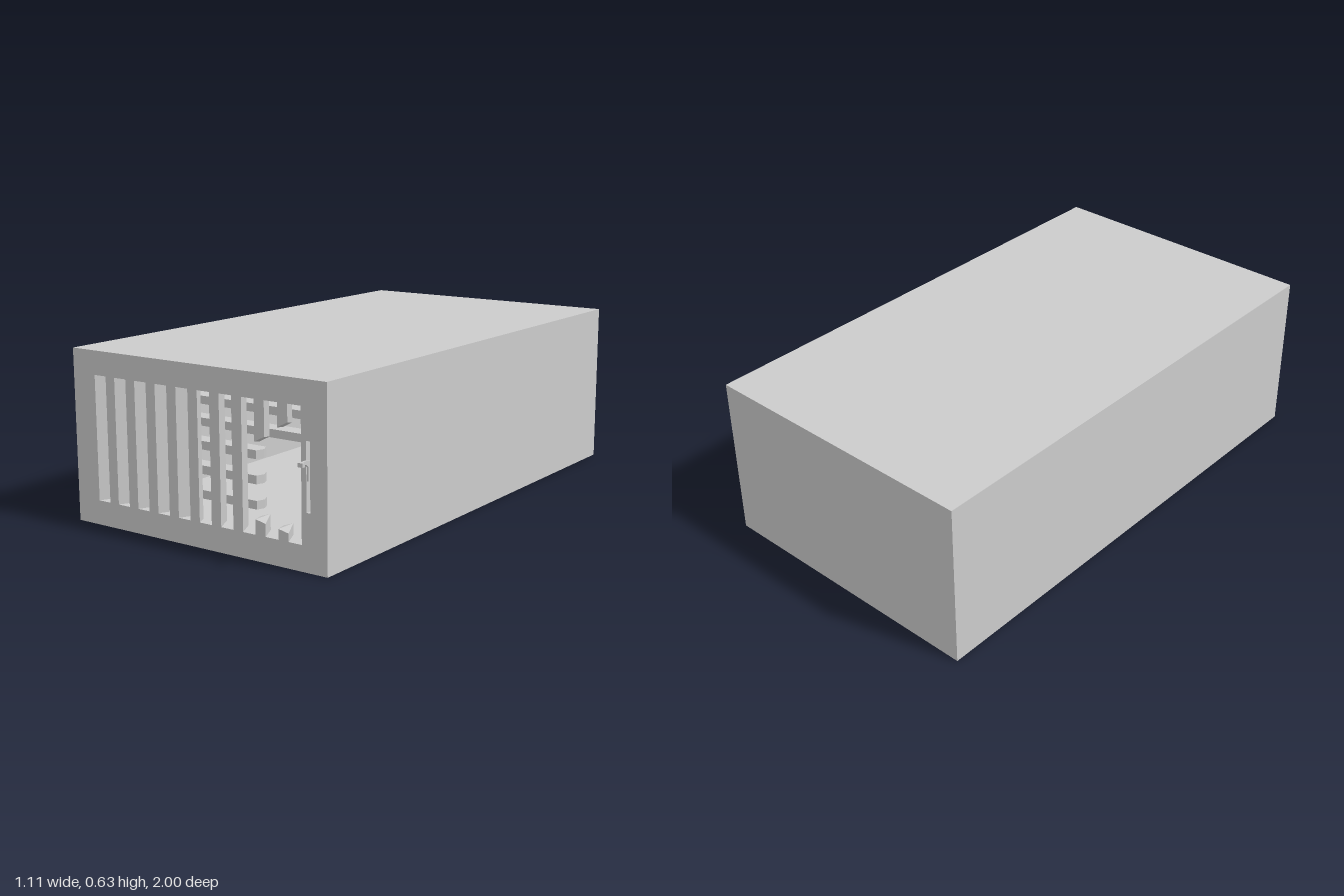
import * as THREE from 'three';

const W = 0.553, H = 0.632;            // half width, height
const BACK = -1, FRONT = 0.95, INNER = 0.88; // z of the back, the front and the grille's rear side
const Y0 = 0.09, Y1 = 0.545;           // slot bottom and top
const SLOT = 0.053, PITCH = 0.0943, SHIFT = 0.034;
const material = new THREE.MeshStandardMaterial({ color: 0xcccccc, flatShading: true });

function add(group, name, geometry) {
  const mesh = new THREE.Mesh(geometry, material);
  mesh.name = name;
  group.add(mesh);
  return mesh;
}

function block(group, name, x0, x1, y0, y1, z0, z1) {
  const mesh = add(group, name, new THREE.BoxGeometry(x1 - x0, y1 - y0, z1 - z0));
  mesh.position.set((x0 + x1) / 2, (y0 + y1) / 2, (z0 + z1) / 2);
  return mesh;
}

// Upright prism over an [x, z] outline; its ends may be cut by functions of x
function prism(group, name, outline, bottom, top) {
  const shape = new THREE.Shape(outline.map(([x, z]) => new THREE.Vector2(x, -z)));
  const geometry = new THREE.ExtrudeGeometry(shape, { depth: 1, bevelEnabled: false });
  geometry.rotateX(-Math.PI / 2);
  const p = geometry.attributes.position;
  for (let i = 0; i < p.count; i++) {
    const end = p.getY(i) > 0.5 ? top : bottom;
    p.setY(i, typeof end === 'function' ? end(p.getX(i)) : end);
  }
  geometry.computeVertexNormals();
  return add(group, name, geometry);
}

function createCase(group) {
  const t = 0.012;
  const shape = new THREE.Shape();
  shape.moveTo(-W, 0).lineTo(W, 0).lineTo(W, H).lineTo(-W, H).closePath();
  const hole = new THREE.Path();
  hole.moveTo(-W + t, t).lineTo(-W + t, H - t).lineTo(W - t, H - t).lineTo(W - t, t).closePath();
  shape.holes.push(hole);
  const walls = add(group, 'caseWalls',
    new THREE.ExtrudeGeometry(shape, { depth: INNER - BACK - t, bevelEnabled: false }));
  walls.position.z = BACK + t;
  block(group, 'backWall', -W, W, 0, H, BACK, BACK + t);
}

function createGrille(group) {
  // Rails above and below the slots
  block(group, 'bottomRail', -W, W, 0, Y0, INNER, FRONT);
  block(group, 'topRail', -W, W, Y1, H, INNER, FRONT);

  // Side margins; the left one is split around the lever slot
  const edge = 0.451, a = 0.471, b = 0.486;
  prism(group, 'rightMargin',
    [[-W, FRONT], [-edge, FRONT], [-edge + SHIFT, INNER], [-W, INNER]], Y0, Y1);
  prism(group, 'leftMarginInner',
    [[edge, FRONT], [a, FRONT], [a, INNER], [edge - SHIFT, INNER]], Y0, Y1);
  block(group, 'leftMarginOuter', b, W, Y0, Y1, INNER, FRONT);
  block(group, 'leverSlotBottom', a, b, Y0, 0.2, INNER, FRONT);
  block(group, 'leverSlotTop', a, b, 0.435, Y1, INNER, FRONT);

  // Slanted bars, leaning towards the middle
  for (let i = -4; i <= 4; i++) {
    const x = i * PITCH, h = (PITCH - SLOT) / 2;
    const s = -Math.sign(i) * SHIFT;
    if (i === 0) {
      const apex = FRONT - (FRONT - INNER) * h / SHIFT;
      prism(group, 'middleBar', [[-h, FRONT], [h, FRONT], [0, apex]], Y0, Y1);
      continue;
    }
    const outline = [[x - h, FRONT], [x + h, FRONT], [x + h + s, INNER], [x - h + s, INNER]];
    if (i < 3) {
      prism(group, 'bar', outline, Y0, Y1);
    } else {
      // Two broken bars, each leaving a ragged stub at the top and the bottom
      const topCut = i === 3 ? 0.425 : 0.485, lowCut = i === 3 ? 0.146 : 0.13;
      prism(group, 'brokenBarTop', outline, (u) => topCut + 0.52 * (u - x - h), Y1);
      prism(group, 'brokenBarBottom', outline, Y0,
        (u) => lowCut - 0.35 * Math.abs(u - x + 0.012));
    }
  }

  // Cross slats behind the bars; the lower three are snapped off to a point
  const z0 = INNER - 0.06, z1 = INNER;
  [0.15, 0.237, 0.323, 0.406, 0.482].forEach((y, k) => {
    if (k > 2) {
      block(group, 'crossSlat', -0.46, 0.46, y, y + 0.028, z0, z1);
    } else {
      prism(group, 'brokenCrossSlat',
        [[-0.46, z1], [0.212, z1], [0.222, (z0 + z1) / 2], [0.207, z0], [-0.46, z0]], y, y + 0.03);
    }
  });
}

function createLever(group) {
  // Thin stem through the slot with a bent finger tab
  block(group, 'leverStem', 0.475, 0.481, 0.305, 0.365, INNER, FRONT + 0.002);
  const side = new THREE.Shape();
  side.moveTo(0.9, 0.35).lineTo(0.95, 0.35).lineTo(0.965, 0.362).lineTo(1, 0.362)
    .lineTo(1, 0.374).lineTo(0.96, 0.374).lineTo(0.945, 0.372).lineTo(0.9, 0.365).closePath();
  const arm = new THREE.ExtrudeGeometry(side, { depth: 0.007, bevelEnabled: false });
  arm.rotateY(-Math.PI / 2);
  add(group, 'leverArm', arm).position.x = 0.482;
  block(group, 'leverTab', 0.475, 0.495, 0.361, 0.375, 0.988, 1);
}

export function createModel() {
  const model = new THREE.Group();
  model.name = 'ventBox';
  const parts = { case: createCase, grille: createGrille, lever: createLever };
  for (const [name, build] of Object.entries(parts)) {
    const group = new THREE.Group();
    group.name = name;
    build(group);
    model.add(group);
  }
  return model;
}
